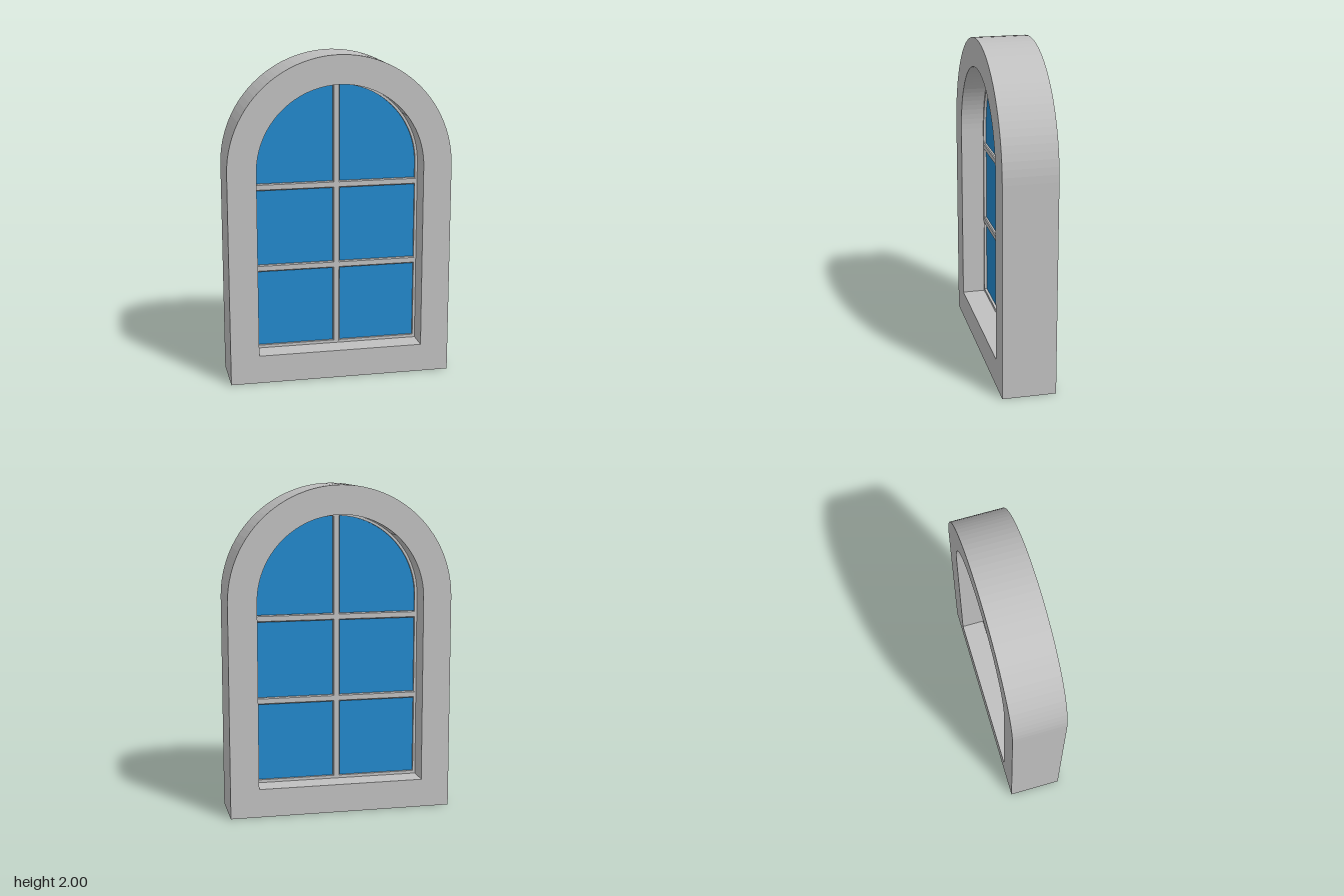
import * as THREE from 'three';

const SPRING = 1.315; // height where the arch begins

// Round-headed outline: straight sides, flat bottom, semicircular top
function archOutline(target, halfWidth, bottom) {
  target.moveTo(-halfWidth, bottom);
  target.lineTo(halfWidth, bottom);
  target.lineTo(halfWidth, SPRING);
  target.absarc(0, SPRING, halfWidth, 0, Math.PI, false);
  target.lineTo(-halfWidth, bottom);
  return target;
}

// Arched slab, optionally hollowed by a smaller arch, centred on z = 0
function archGeometry(depth, outer, inner) {
  const shape = archOutline(new THREE.Shape(), ...outer);
  if (inner) shape.holes.push(archOutline(new THREE.Path(), ...inner));
  const geometry = new THREE.ExtrudeGeometry(shape, { depth, bevelEnabled: false, curveSegments: 24 });
  return geometry.translate(0, 0, -depth / 2);
}

// Glazing bar along y with chamfered corners
function barGeometry(length, half, chamfer) {
  const c = half - chamfer;
  const shape = new THREE.Shape([
    [half, -c], [half, c], [c, half], [-c, half],
    [-half, c], [-half, -c], [-c, -half], [c, -half],
  ].map(([x, y]) => new THREE.Vector2(x, y)));
  const geometry = new THREE.ExtrudeGeometry(shape, { depth: length, bevelEnabled: false });
  return geometry.translate(0, 0, -length / 2).rotateX(-Math.PI / 2);
}

export function createModel() {
  const group = new THREE.Group();
  const stone = new THREE.MeshStandardMaterial({ color: 0xc0c0c0 });
  stone.name = 'light grey';
  const blue = new THREE.MeshStandardMaterial({ color: 0x2288cc });
  blue.name = 'glass blue';

  const add = (name, geometry, material) => {
    const mesh = new THREE.Mesh(geometry, material);
    mesh.name = name;
    group.add(mesh);
    return mesh;
  };

  // Deep surround and the slim sash set in the middle of it
  add('surround', archGeometry(0.326, [0.685, 0], [0.51, 0.175]), stone);
  add('sash', archGeometry(0.04, [0.512, 0.173], [0.495, 0.193]), stone);

  // Single pane behind the bars
  add('glass', archGeometry(0.008, [0.503, 0.184]), blue);

  // One upright and two cross bars
  add('uprightBar', barGeometry(1.63, 0.021, 0.006), stone).position.y = 1.0;
  [0.688, 1.196].forEach((y, i) => {
    const bar = add(`crossBar${i + 1}`, barGeometry(1.0, 0.021, 0.006), stone);
    bar.rotation.z = Math.PI / 2;
    bar.position.y = y;
  });

  return group;
}
